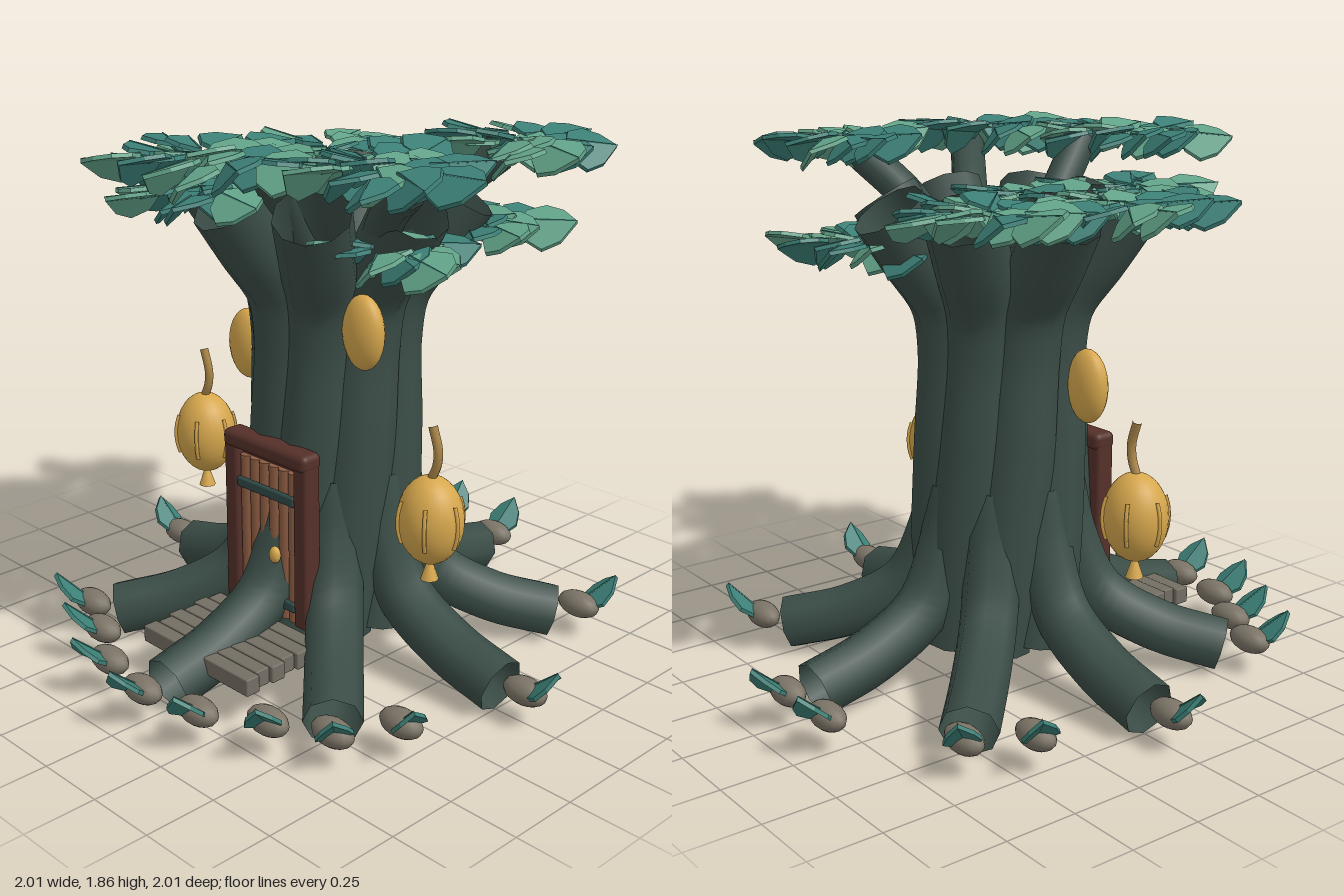
import * as THREE from 'three';
import { mergeGeometries } from 'three/addons/utils/BufferGeometryUtils.js';
import { RoundedBoxGeometry } from 'three/addons/geometries/RoundedBoxGeometry.js';

const mat = (name, color, extra = {}) => {
  const m = new THREE.MeshStandardMaterial({ color, ...extra });
  m.name = name;
  return m;
};
const V = (x, y, z) => new THREE.Vector3(x, y, z);
// point from angle around y (0 = front, growing towards +x), radius and height
const polar = (a, r, y) => V(Math.sin(a) * r, y, Math.cos(a) * r);

export function createModel() {
  const M = {
    bark: mat('bark', 0x3b4d47, { side: THREE.DoubleSide }),
    frame: mat('door frame brown', 0x553029),
    plank: mat('door plank brown', 0x8c5c42),
    iron: mat('dark iron', 0x2f4a48),
    gold: mat('gold', 0xd6a74d),
    stem: mat('stem tan', 0xa98548),
    stone: mat('stone', 0x7b7366),
    step: mat('step wood', 0x736e63),
    leafDark: mat('teal leaf', 0x3c7f76, { flatShading: true }),
    leafLight: mat('green leaf', 0x62a389, { flatShading: true }),
  };
  const root = new THREE.Group();
  root.name = 'treeHouse';
  const add = (name, geo, material, x = 0, y = 0, z = 0, parent = root) => {
    const mesh = new THREE.Mesh(geo, material);
    mesh.name = name;
    mesh.position.set(x, y, z);
    parent.add(mesh);
    return mesh;
  };
  const tube = (pts, r, segs = 24, sides = 10) =>
    new THREE.TubeGeometry(new THREE.CatmullRomCurve3(pts), segs, r, sides);
  const egg = (rx, ry, rz, w = 20, h = 14) => new THREE.SphereGeometry(1, w, h).scale(rx, ry, rz);
  let seed = 7;
  const rnd = () => (seed = (seed * 16807) % 2147483647) / 2147483647;

  // Trunk: eight twisting cords flaring at the top, and a root below each
  const cordProfile = [[0.14, 0.2], [0.5, 0.19], [0.85, 0.18], [1.15, 0.17], [1.32, 0.2], [1.48, 0.31], [1.63, 0.41]];
  const rootProfile = [[0.68, 0.19], [0.48, 0.236], [0.28, 0.335], [0.16, 0.54], [0.098, 0.77]];
  const twist = (y) => 0.62 * (1 - ((1.63 - y) / 1.49) ** 2);
  for (let i = 0; i < 8; i++) {
    const a = (i * Math.PI) / 4;
    add('trunkCord', tube(cordProfile.map(([y, r]) => polar(a + twist(y), r, y)), 0.126, 32), M.bark);
    add('root', tube(rootProfile.map(([y, r]) => polar(a, r, y)), 0.097, 20, 8), M.bark);
  }
  add('trunkCore', new THREE.CylinderGeometry(0.2, 0.22, 1.22, 16), M.bark, 0, 0.77, 0);

  // Branches holding the upper foliage
  [
    [V(0.22, 1.42, 0.05), V(0.38, 1.62, 0.15), V(0.6, 1.76, 0.3)],
    [V(0.0, 1.4, 0.12), V(0.04, 1.6, 0.25), V(0.1, 1.8, 0.42)],
    [V(0.2, 1.4, -0.08), V(0.3, 1.6, -0.14), V(0.48, 1.78, -0.25)],
  ].forEach((p) => add('branch', tube(p, 0.062, 12), M.bark));

  // Leaf: two thin halves folded along the midrib, base at the origin, tip on +z
  const leafGeo = (len, wid) => mergeGeometries([1, -1].map((s) => {
    const outline = [[0, 0], [0.65, 0.1], [1, 0.42], [0.7, 0.74], [0, 1]]
      .map(([x, z]) => new THREE.Vector2(s * x * wid / 2, z * len));
    const g = new THREE.ExtrudeGeometry(new THREE.Shape(outline), { depth: 0.014, bevelEnabled: false });
    g.rotateX(Math.PI / 2);
    const p = g.attributes.position;
    for (let i = 0; i < p.count; i++) p.setY(i, p.getY(i) - Math.abs(p.getX(i)) * 0.35);
    g.computeVertexNormals();
    return g;
  }));
  const ribGeo = (len) => new THREE.CylinderGeometry(0.002, 0.004, len, 4)
    .rotateX(Math.PI / 2).translate(0, 0.001, len / 2);
  const pose = (p, yaw, pitch, roll = 0) => new THREE.Matrix4().compose(
    p, new THREE.Quaternion().setFromEuler(new THREE.Euler(pitch, yaw, roll, 'YXZ')), V(1, 1, 1));

  // Foliage: flat discs of leaves, all rolled the same way [x, middle y, z, radius, count]
  [
    [0.51, 1.81, 0.34, 0.29, 20], [0.05, 1.81, 0.58, 0.3, 20], [0.52, 1.81, -0.29, 0.26, 17],
    [-0.48, 1.655, 0.1, 0.28, 20], [-0.38, 1.655, -0.34, 0.29, 20], [-0.19, 1.655, 0.41, 0.28, 18],
    [-0.08, 1.655, 0.02, 0.2, 9],
    [0.25, 1.5, -0.38, 0.28, 17], [0.36, 1.5, 0.12, 0.22, 12],
  ].forEach(([cx, y, cz, R, n]) => {
    const group = new THREE.Group();
    group.name = 'foliage';
    root.add(group);
    const dark = [], light = [], ribs = [];
    for (let i = 0; i < n; i++) {
      const a = i * 2.39996, r = R * Math.sqrt((i + 0.5) / n) - 0.09;
      const len = 0.165 + rnd() * 0.03;
      const m = pose(V(cx + Math.sin(a) * r, y + 0.01 + rnd() * 0.012, cz + Math.cos(a) * r),
        a + (rnd() - 0.5) * 0.7, 0.02 + (rnd() - 0.5) * 0.3, 0.55 + (rnd() - 0.5) * 0.2);
      (rnd() < 0.58 ? dark : light).push(leafGeo(len, 0.17 + rnd() * 0.03).applyMatrix4(m));
      ribs.push(ribGeo(len).applyMatrix4(m));
    }
    add('tealLeaves', mergeGeometries(dark), M.leafDark, 0, 0, 0, group);
    if (light.length) add('greenLeaves', mergeGeometries(light), M.leafLight, 0, 0, 0, group);
    add('leafRibs', mergeGeometries(ribs), M.leafDark, 0, 0, 0, group);
  });

  // Ring of stones, each with a sprout leaning outwards
  const ring = [];
  for (let i = 0; i < 8; i++) ring.push([(i * Math.PI) / 4, 0.87]);
  ring.push([0.27, 0.86], [-0.27, 0.86], [0.54, 0.83], [-0.54, 0.83], [1.04, 0.84], [1.04 + Math.PI, 0.84], [Math.PI + 0.26, 0.89]);
  for (const [a, r] of ring) {
    const p = polar(a, r, 0.122);
    add('stone', egg(0.083, 0.046, 0.05, 14, 10), M.stone, p.x, p.y, p.z);
    const m = pose(polar(a, r, 0.128), a, -0.7, 0.2);
    add('sprout', leafGeo(0.165, 0.12).applyMatrix4(m), M.leafDark);
    add('sproutRib', ribGeo(0.165).applyMatrix4(m), M.leafDark);
  }

  // Door with frame, planks, iron bands and knob
  const door = new THREE.Group();
  door.name = 'door';
  root.add(door);
  for (const s of [-1, 1])
    add('doorPost', new RoundedBoxGeometry(0.062, 0.59, 0.07, 2, 0.012), M.frame, s * 0.17, 0.495, 0.3, door);
  add('doorLintel', new RoundedBoxGeometry(0.405, 0.062, 0.085, 3, 0.022), M.frame, 0, 0.797, 0.3, door);
  for (let i = 0; i < 6; i++)
    add('doorPlank', new THREE.CylinderGeometry(0.0245, 0.0245, 0.54, 10), M.plank, (i - 2.5) * 0.047, 0.475, 0.3, door);
  add('doorBacking', new THREE.BoxGeometry(0.29, 0.58, 0.03), M.frame, 0, 0.49, 0.285, door);
  for (const y of [0.65, 0.265])
    add('doorBand', new RoundedBoxGeometry(0.28, 0.036, 0.02, 2, 0.008), M.iron, 0, y, 0.325, door);
  add('doorKnob', egg(0.022, 0.03, 0.018), M.gold, 0.062, 0.445, 0.345, door);

  // Doorstep slats
  for (let i = 0; i < 6; i++)
    add('stepSlat', new RoundedBoxGeometry(0.5 + (i % 2) * 0.03, 0.06, 0.055, 1, 0.005), M.step,
      0.02, 0.172 - i * 0.003, 0.37 + i * 0.055);

  // Hanging lanterns with six ribs, a stem and a tassel
  for (const s of [-1, 1]) {
    const g = new THREE.Group();
    g.name = 'lantern';
    g.position.set(s * 0.555, 0.66, 0.12);
    root.add(g);
    add('lanternBody', egg(0.113, 0.15, 0.105, 24, 16), M.gold, 0, 0, 0, g);
    for (let i = 0; i < 6; i++) {
      const a = Math.PI / 6 + (i * Math.PI) / 3;
      const pts = [-0.5, -0.25, 0, 0.25, 0.5].map((t) =>
        V(Math.sin(a) * 0.115 * Math.cos(t), 0.15 * Math.sin(t), Math.cos(a) * 0.107 * Math.cos(t)));
      add('lanternRib', tube(pts, 0.007, 10, 6), M.gold, 0, 0, 0, g);
    }
    add('lanternStem', tube([V(0, 0.14, 0), V(0.022, 0.19, 0), V(0.026, 0.24, 0), V(0.002, 0.318, 0)], 0.015, 14, 8), M.stem, 0, 0, 0, g);
    add('lanternTassel', new THREE.CylinderGeometry(0.01, 0.03, 0.06, 10), M.gold, 0, -0.178, 0, g);
  }

  // Plain pods on the trunk
  add('pod', egg(0.085, 0.125, 0.052), M.gold, -0.32, 1.05, 0.11);
  add('pod', egg(0.082, 0.125, 0.052), M.gold, 0.285, 1.23, 0.155);

  return root;
}
